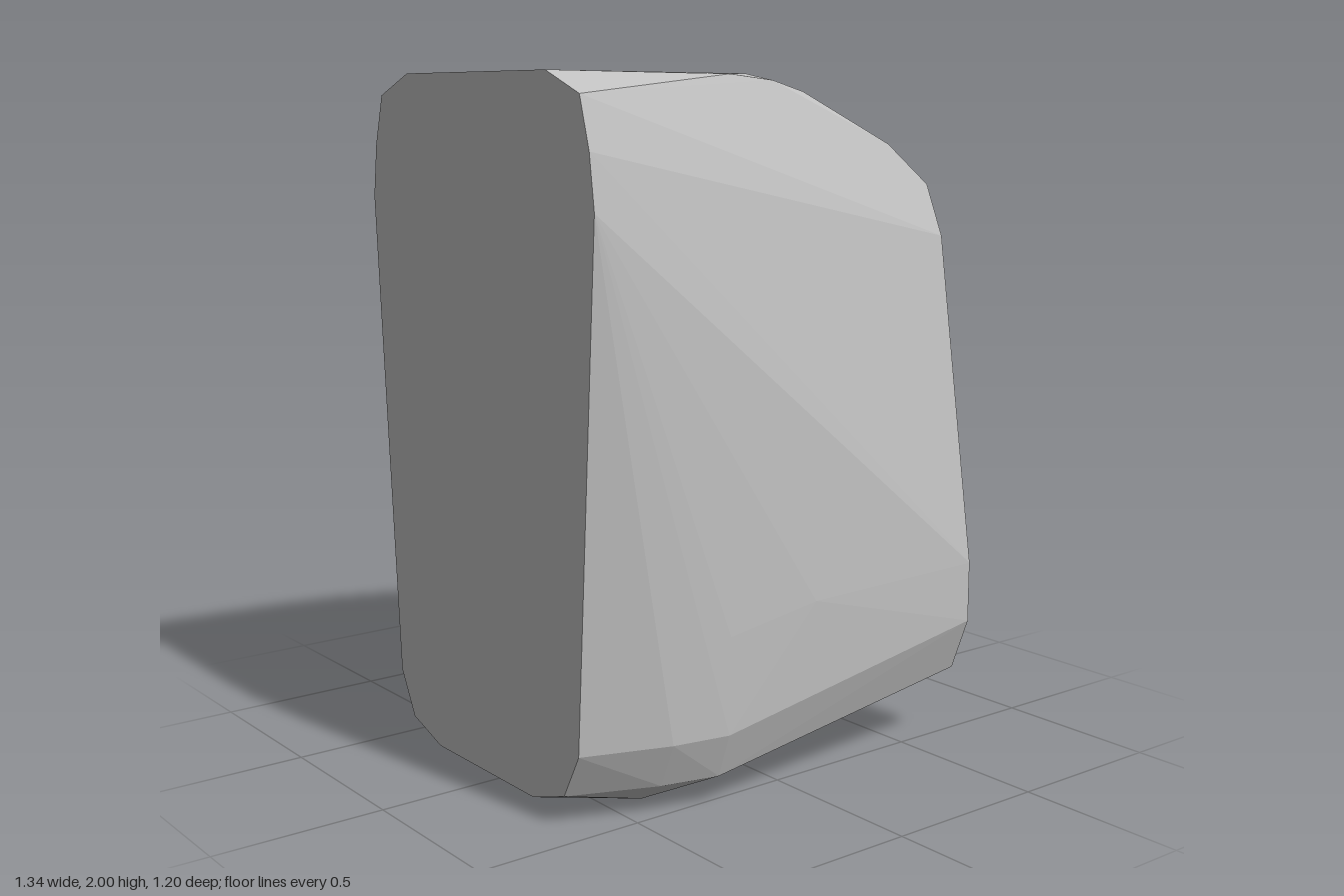
import * as THREE from 'three';
import { ConvexGeometry } from 'three/addons/geometries/ConvexGeometry.js';

// Half cross-sections across the block: x, then [halfWidth, y] corners.
const SECTIONS = [
  // tall flat end
  [-0.67, [[0.35, 2], [0.5, 1.94], [0.54, 1.8], [0.56, 1.65], [0.47, 0.22], [0.4, 0.09], [0.25, 0.04]]],
  // rounded lower nose
  [-0.53, [[0.46, 0.11]]],
  [-0.42, [[0.555, 0.22], [0.5, 0.09], [0.41, 0.025], [0.25, 0.005]]],
  [-0.25, [[0.59, 0.5], [0.585, 0.22], [0.54, 0.09]]],
  // curved top
  [-0.1, [[0.39, 1.995]]],
  [0.05, [[0.6, 0.55]]],
  [0.07, [[0.25, 2], [0.37, 1.98]]],
  [0.2, [[0.25, 1.965], [0.35, 1.95]]],
  [0.3, [[0.25, 1.93]]],
  [0.4, [[0.25, 1.89]]],
  [0.53, [[0.25, 1.825], [0.36, 1.8]]],
  // lower flat end
  [0.67, [[0.25, 1.75], [0.385, 1.68], [0.45, 1.53], [0.6, 0.56], [0.6, 0.38], [0.54, 0.22], [0.41, 0.15]]],
];

export function createModel() {
  const group = new THREE.Group();
  group.name = 'facetedBlock';

  const grey = new THREE.MeshStandardMaterial({ color: 0xc0c0c0 });
  grey.name = 'grey';

  // Mirror every corner front to back and wrap the hull around them
  const points = [];
  for (const [x, corners] of SECTIONS) {
    for (const [z, y] of corners) {
      points.push(new THREE.Vector3(x, y, z), new THREE.Vector3(x, y, -z));
    }
  }

  const block = new THREE.Mesh(new ConvexGeometry(points), grey);
  block.name = 'block';
  group.add(block);
  return group;
}
